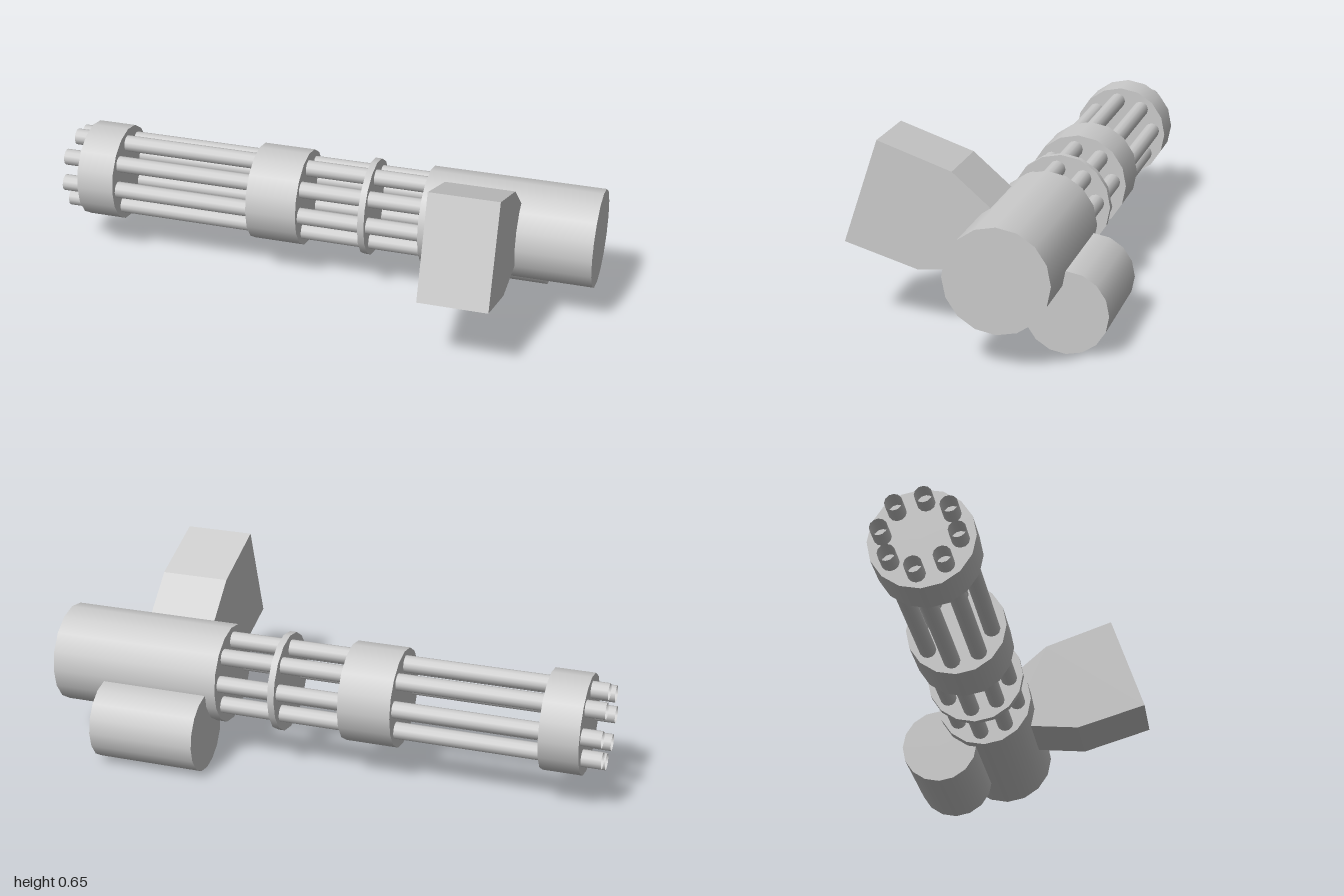
import * as THREE from 'three';

const AXIS_Y = 0.302, AXIS_Z = -0.14;

export function createModel() {
  const model = new THREE.Group();
  const grey = new THREE.MeshStandardMaterial({ color: 0xcccccc });
  const greyOpen = new THREE.MeshStandardMaterial({ color: 0xcccccc, side: THREE.DoubleSide });
  const greyFlat = new THREE.MeshStandardMaterial({ color: 0xcccccc, flatShading: true });

  // Cylinder lying along x from x0 to x1
  function rod(name, x0, x1, y, z, radius, sides = 16, open = false) {
    const geometry = new THREE.CylinderGeometry(radius, radius, x1 - x0, sides, 1, open);
    geometry.rotateZ(Math.PI / 2);
    const mesh = new THREE.Mesh(geometry, open ? greyOpen : grey);
    mesh.position.set((x0 + x1) / 2, y, z);
    mesh.name = name;
    model.add(mesh);
  }

  // Main housing and the clamps that hold the barrels
  rod('housing', 0.375, 1, AXIS_Y, AXIS_Z, 0.178);
  rod('muzzleClamp', -0.93, -0.79, AXIS_Y, AXIS_Z, 0.178);
  rod('middleClamp', -0.27, -0.08, AXIS_Y, AXIS_Z, 0.178);
  rod('thinClamp', 0.153, 0.177, AXIS_Y, AXIS_Z, 0.178);

  // Motor drum slung below and behind the housing
  rod('motorDrum', 0.413, 0.803, 0.143, -0.317, 0.142);

  // Ring of eight open barrels
  for (let i = 0; i < 8; i++) {
    const a = THREE.MathUtils.degToRad(-6 + i * 45);
    const start = i === 2 ? -0.99 : -1;
    rod('barrel' + (i + 1), start, 0.4,
      AXIS_Y + 0.127 * Math.sin(a), AXIS_Z + 0.127 * Math.cos(a), 0.03, 12, true);
  }

  // Tilted ammunition box: (z, y) profile extruded along x
  const profile = [
    [0.34, 0.65], [0.085, 0.562], [-0.1, 0.402], [-0.06, 0.24], [0.205, 0.215], [0.46, 0.292],
  ];
  const shape = new THREE.Shape(profile.map(([z, y]) => new THREE.Vector2(-z, y)));
  const boxGeometry = new THREE.ExtrudeGeometry(shape, { depth: 0.247, bevelEnabled: false });
  boxGeometry.rotateY(Math.PI / 2);
  const box = new THREE.Mesh(boxGeometry, greyFlat);
  box.position.x = 0.48;
  box.name = 'ammunitionBox';
  model.add(box);

  return model;
}
